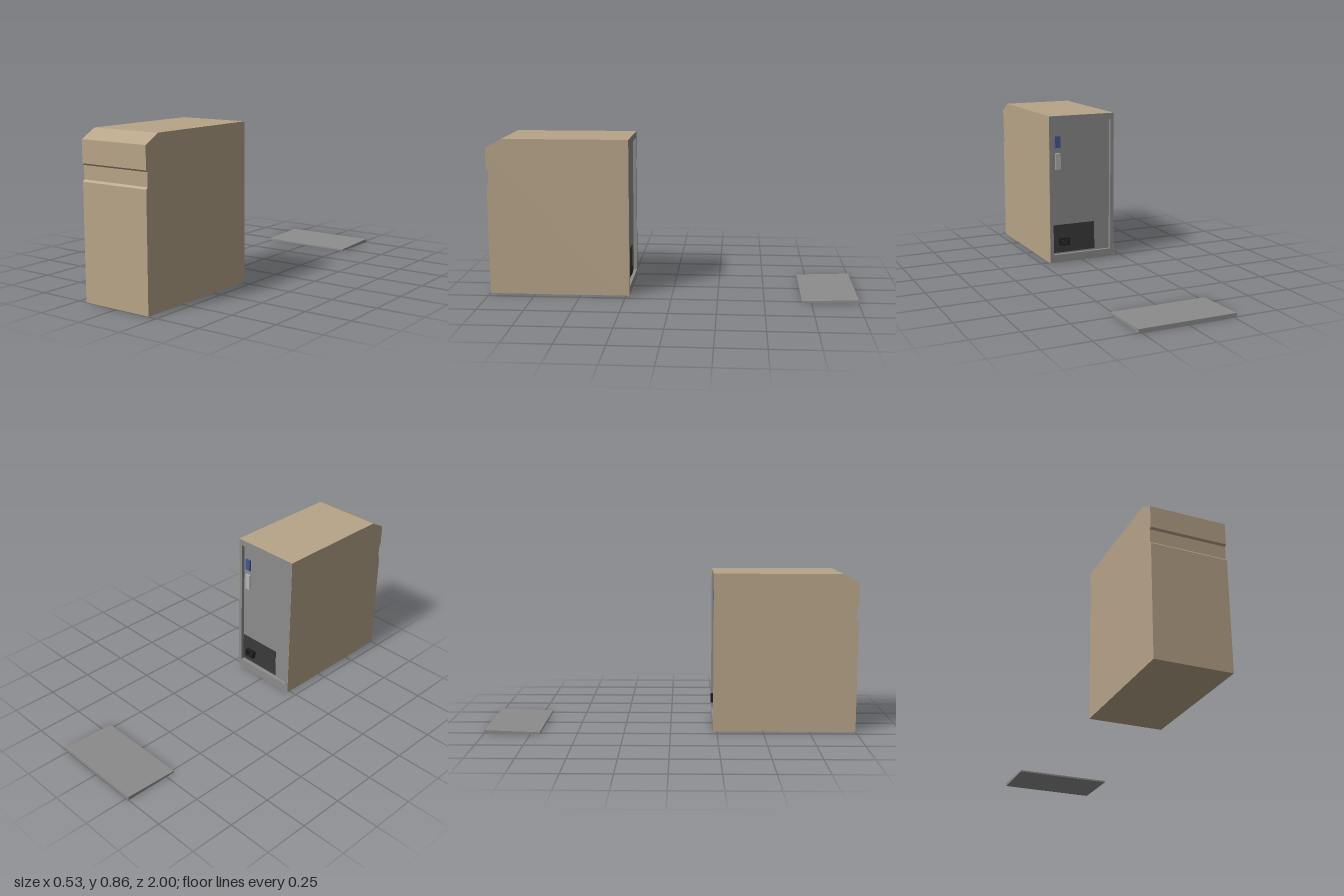
import * as THREE from 'three';

const mat = (color) => new THREE.MeshStandardMaterial({ color, flatShading: true });
const TAN = mat(0xb7a488), GREY = mat(0x8c8c8c), DARK = mat(0x3a3a3a);
const BLACK = mat(0x1c1c1c), BLUE = mat(0x44598f), SILVER = mat(0xb4b4b4);

const HALF = 0.202, TOP = 0.855, BACK = 0.23, PANEL = 0.25;

export function createModel() {
  const model = new THREE.Group();

  const add = (name, geometry, material, parent = model) => {
    const mesh = new THREE.Mesh(geometry, material);
    mesh.name = name;
    parent.add(mesh);
    return mesh;
  };

  // Box given by its limits on each axis
  const box = (name, material, [x0, x1], [y0, y1], [z0, z1], parent) =>
    add(name, new THREE.BoxGeometry(x1 - x0, y1 - y0, z1 - z0), material, parent)
      .position.set((x0 + x1) / 2, (y0 + y1) / 2, (z0 + z1) / 2);

  // Side profile of [z, y] points, extruded across x
  const prism = (name, material, points, halfWidth) => {
    const shape = new THREE.Shape(points.map(([z, y]) => new THREE.Vector2(z, y)));
    const geometry = new THREE.ExtrudeGeometry(shape, { depth: halfWidth * 2, bevelEnabled: false });
    geometry.rotateY(-Math.PI / 2).translate(halfWidth, 0, 0);
    add(name, geometry, material);
  };

  // Rectangular ring facing z; outer and inner are [x0, x1, y0, y1]
  const ring = (name, material, outer, inner, z0, z1, parent) => {
    const corners = ([x0, x1, y0, y1]) =>
      [[x0, y0], [x1, y0], [x1, y1], [x0, y1]].map(([x, y]) => new THREE.Vector2(x, y));
    const shape = new THREE.Shape(corners(outer));
    shape.holes.push(new THREE.Path(corners(inner).reverse()));
    const geometry = new THREE.ExtrudeGeometry(shape, { depth: z1 - z0, bevelEnabled: false });
    geometry.translate(0, 0, z0);
    add(name, geometry, material, parent);
  };

  // Tower case: sloped top front edge and a shallow groove across the front
  prism('towerCase', TAN, [
    [PANEL, 0], [1, 0], [1, 0.601], [0.99, 0.611], [0.99, 0.681], [1, 0.69],
    [1, 0.806], [0.912, TOP], [PANEL, TOP],
  ], HALF);

  // Rear rim: thin case skin around a grey frame with a recessed opening
  const skin = 0.001;
  const frameEdge = [-HALF + skin, HALF - skin, skin, TOP - skin];
  ring('caseRearSkin', TAN, [-HALF, HALF, 0, TOP], frameEdge, BACK, PANEL);
  ring('rearFrame', GREY, frameEdge, [-0.18, 0.18, 0.047, 0.82], BACK, PANEL);
  box('rearPanel', GREY, [-0.18, 0.18], [0.047, 0.82], [PANEL - 0.001, PANEL + 0.005]);

  // Connectors on the rear panel
  box('bluePort', BLUE, [0.128, 0.161], [0.67, 0.737], [0.24, PANEL]);
  box('silverPort', SILVER, [0.128, 0.161], [0.545, 0.64], [0.24, PANEL]);

  // Power supply with a hollow socket and three pins
  const supply = new THREE.Group();
  supply.name = 'powerSupply';
  model.add(supply);
  box('supplyPlate', DARK, [-0.084, 0.178], [0.056, 0.22], [0.246, PANEL], supply);
  ring('powerSocket', BLACK, [0.08, 0.14, 0.1, 0.142], [0.087, 0.133, 0.107, 0.135], 0.225, 0.247, supply);
  for (const [x, y] of [[0.097, 0.117], [0.11, 0.125], [0.123, 0.117]]) {
    box('socketPin', BLACK, [x - 0.002, x + 0.002], [y - 0.005, y + 0.005], [0.23, 0.247], supply);
  }

  // Keyboard: a flat wedge, taller along its far edge
  prism('keyboard', GREY, [[-1, 0], [-0.7, 0], [-0.7, 0.009], [-1, 0.02]], 0.267);

  return model;
}
